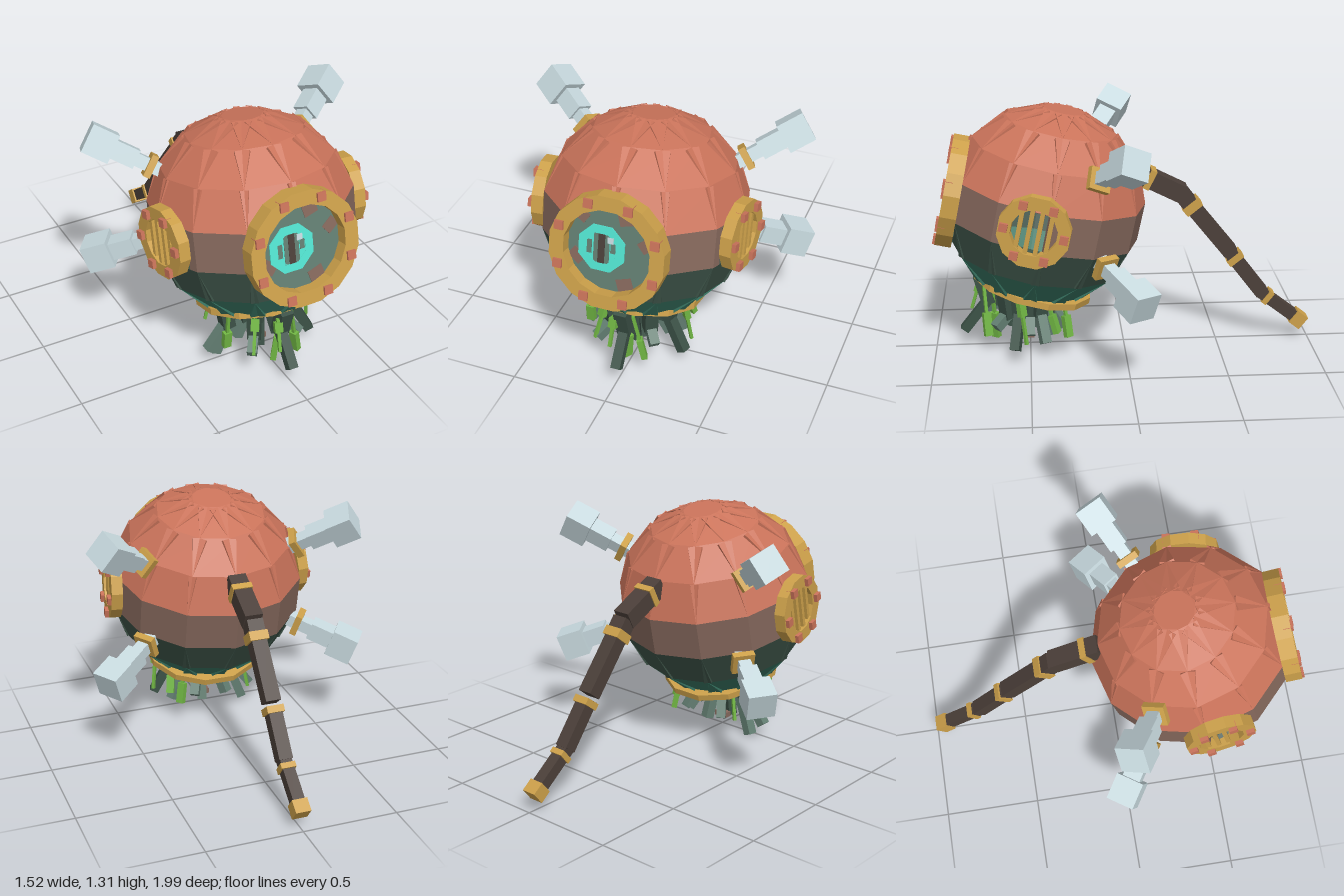
import * as THREE from 'three';

const paint = (name, color) => {
  const m = new THREE.MeshStandardMaterial({ color });
  m.name = name;
  return m;
};
const M = {
  copper: paint('copper', 0xca735a),
  brown: paint('agedBrown', 0x85685c),
  moss: paint('darkMoss', 0x3c5247),
  teal: paint('deepTeal', 0x387562),
  gold: paint('brass', 0xcca04a),
  steel: paint('paleSteel', 0xc8dadf),
  hose: paint('hoseBrown', 0x4b3f39),
  glow: paint('glowTurquoise', 0x52e4d1),
  slate: paint('slateGreen', 0x627d71),
  vine: paint('vineGreen', 0x70b543),
};
const CENTER = new THREE.Vector3(0, 0.79, 0.41);
const R = 0.525, TILT = 0.21, DEG = Math.PI / 180;
const WINDOW_Y = -0.018;
const V = (x, y, z) => new THREE.Vector3(x, y, z);

function group(parent, name) {
  const g = new THREE.Group();
  g.name = name;
  parent.add(g);
  return g;
}

function add(parent, name, geometry, material, x = 0, y = 0, z = 0) {
  const m = new THREE.Mesh(geometry, material);
  m.name = name;
  m.position.set(x, y, z);
  parent.add(m);
  return m;
}

const box = (parent, name, mat, w, h, d, x, y, z) =>
  add(parent, name, new THREE.BoxGeometry(w, h, d), mat, x, y, z);

// Box running from one point to another
function link(parent, name, mat, a, b, w, h = w) {
  const m = new THREE.Mesh(new THREE.BoxGeometry(w, h, a.distanceTo(b)), mat);
  m.name = name;
  m.position.lerpVectors(a, b, 0.5);
  m.lookAt(b);
  parent.add(m);
  return m;
}

// Flat-sided ring in the xy plane, from z0 to z1
function ringGeometry(outer, inner, sides, z0, z1) {
  const pts = r => Array.from({ length: sides }, (_, i) => {
    const a = ((i + 0.5) / sides) * Math.PI * 2;
    return new THREE.Vector2(Math.cos(a) * r, Math.sin(a) * r);
  });
  const shape = new THREE.Shape(pts(outer));
  shape.holes.push(new THREE.Path(pts(inner)));
  return new THREE.ExtrudeGeometry(shape, { depth: z1 - z0, bevelEnabled: false }).translate(0, 0, z0);
}

// Plate with one corner scooped out around the front window;
// sx, sy point away from the scooped corner, gap is its distance from the window centre
function scoopedPlate(w, h, t, sx, sy, gap) {
  const r = 0.25, start = Math.asin(gap / r);
  const pts = [[0, h], [w, h], [w, 0]];
  for (let i = 0; i <= 6; i++) {
    const a = start + (Math.PI / 2 - start) * (i / 6);
    pts.push([r * Math.cos(a), r * Math.sin(a) - gap]);
  }
  const shape = new THREE.Shape(pts.map(([x, y]) => new THREE.Vector2(sx * (x - w / 2), sy * (y - h / 2))));
  return new THREE.ExtrudeGeometry(shape, { depth: t, bevelEnabled: false }).translate(0, 0, -t);
}

function bolts(parent, count, offset, radius, size, z) {
  for (let i = 0; i < count; i++) {
    const a = offset + (i / count) * Math.PI * 2;
    box(parent, 'bolt', M.copper, size, size, 0.05, Math.cos(a) * radius, Math.sin(a) * radius, z);
  }
}

// Hull of overlapping rectangular plates, twelve to a row
function buildHull(body) {
  const hull = group(body, 'hull');
  const rows = [[22.5, M.copper], [45, M.copper], [67.5, M.copper], [90, M.brown], [112.5, M.moss], [135, M.teal]];
  const t = 0.024;
  for (const [phi, mat] of rows) {
    const p0 = (phi - 11.25) * DEG, p1 = (phi + 11.25) * DEG;
    const width = 2 * R * Math.max(Math.sin(p0), Math.sin(p1)) * Math.sin(15 * DEG);
    const r0 = R * Math.sin(p0) * Math.cos(15 * DEG), r1 = R * Math.sin(p1) * Math.cos(15 * DEG);
    const y0 = R * Math.cos(p0), y1 = R * Math.cos(p1);
    const height = Math.hypot(r1 - r0, y1 - y0);
    for (let i = 0; i < 12; i++) {
      const front = i === 0 || i === 11;
      // open behind the front window, narrow strip in front of each porthole
      if (phi === 90 && front) continue;
      const strip = phi === 90 && (i === 2 || i === 9);
      const w = strip ? 0.05 : width;
      const x = strip ? Math.sign(i - 5) * (width - w) / 2 : 0;
      const sector = group(hull, 'hullPlate');
      sector.rotation.y = (15 + 30 * i) * DEG;
      const scooped = front && Math.abs(phi - 90) < 30;
      const gap = phi < 90 ? y1 - WINDOW_Y : WINDOW_Y - y0;
      const g = scooped
        ? scoopedPlate(w, height, t, i === 0 ? 1 : -1, phi < 90 ? 1 : -1, gap)
        : new THREE.BoxGeometry(w, height, t).translate(0, 0, -t / 2);
      const plate = add(sector, 'plate', g, mat, x, (y0 + y1) / 2, (r0 + r1) / 2);
      plate.rotation.x = -Math.atan2(r1 - r0, y0 - y1);
    }
  }
  const capR = R * Math.sin(11.25 * DEG);
  add(hull, 'topCap', new THREE.CylinderGeometry(capR, capR, t, 12), M.copper, 0, R * Math.cos(11.25 * DEG) - t / 2, 0);
  const rim = add(hull, 'bottomRim', ringGeometry(0.32, 0.262, 12, -0.017, 0.017), M.gold, 0, -0.44, -0.018);
  rim.rotation.x = Math.PI / 2 - 0.05;
}

// Front window with the glowing eye set back inside the frame
function buildWindow(body) {
  const win = group(body, 'frontWindow');
  win.position.y = WINDOW_Y;
  add(win, 'windowFrame', ringGeometry(0.294, 0.22, 16, 0.44, 0.525), M.gold);
  bolts(win, 8, 22.5 * DEG, 0.26, 0.045, 0.512);
  const glass = add(win, 'glass', new THREE.CylinderGeometry(0.24, 0.24, 0.006, 16), M.slate, 0, 0, 0.459);
  glass.rotation.x = Math.PI / 2;
  for (const [x, y, w] of [[0.07, 0.165, 0.075], [-0.15, 0.145, 0.06], [0.175, 0.055, 0.07], [-0.17, -0.07, 0.075], [0.08, -0.17, 0.08]]) {
    box(win, 'rustPatch', M.brown, w, 0.06, 0.004, x, y, 0.463).rotation.z = x * 4;
  }
  const eye = group(win, 'eye');
  eye.position.set(-0.045, -0.005, 0.463);
  add(eye, 'eyeGlow', ringGeometry(0.126, 0.08, 8, 0, 0.006), M.glow);
  const iris = add(eye, 'iris', new THREE.CylinderGeometry(0.09, 0.09, 0.004, 8), M.glow, 0, 0, 0.002);
  iris.rotation.x = Math.PI / 2;
  box(eye, 'irisPanel', M.slate, 0.08, 0.15, 0.004, 0, 0, 0.004);
  box(eye, 'pupil', M.hose, 0.034, 0.15, 0.004, 0, 0, 0.006);
  box(eye, 'irisBar', M.slate, 0.025, 0.07, 0.004, -0.062, 0, 0.004);
  box(eye, 'irisBar', M.slate, 0.025, 0.05, 0.004, 0.058, 0.01, 0.004);
  box(eye, 'glint', M.steel, 0.03, 0.03, 0.004, 0.045, 0.05, 0.008);
}

// Barred porthole on each side
function buildPorthole(body, side) {
  const port = group(body, side > 0 ? 'leftPorthole' : 'rightPorthole');
  port.rotation.y = side * 83 * DEG;
  port.position.y = 0.01;
  add(port, 'portholeFrame', ringGeometry(0.184, 0.118, 12, 0.485, 0.545), M.gold);
  bolts(port, 6, 0, 0.15, 0.042, 0.54);
  for (let i = 0; i < 4; i++) {
    box(port, 'grilleBar', M.gold, 0.022, 0.24, 0.02, (i - 1.5) * 0.05, 0, 0.525);
  }
}

// Stubby arm pointing straight out from the hull
function buildArm(model, name, direction, roll) {
  const arm = group(model, name);
  const dir = direction.clone().normalize();
  const at = d => CENTER.clone().addScaledVector(dir, d);
  const parts = [['collar', M.gold, 0.54, 0.575, 0.115], ['neck', M.steel, 0.5, 0.68, 0.065],
    ['forearm', M.steel, 0.635, 0.79, 0.095], ['fist', M.steel, 0.76, 0.9, 0.148]];
  for (const [part, mat, d0, d1, size] of parts) link(arm, part, mat, at(d0), at(d1), size).rotateZ(roll);
}

// Jointed air hose trailing behind
function buildHose(model) {
  const hose = group(model, 'airHose');
  const P = (z, y) => V(0, y, z);
  const segments = [
    [P(-0.06, 0.96), P(-0.31, 0.835), 0.095], [P(-0.305, 0.835), P(-0.37, 0.75), 0.085],
    [P(-0.36, 0.765), P(-0.57, 0.505), 0.08], [P(-0.58, 0.485), P(-0.745, 0.27), 0.072],
    [P(-0.735, 0.275), P(-0.95, 0.11), 0.062]];
  for (const [a, b, w] of segments) link(hose, 'hoseSegment', M.hose, a, b, w);
  const bands = [[P(-0.12, 0.93), P(-0.15, 0.915), 0.108], [P(-0.345, 0.785), P(-0.375, 0.748), 0.1],
    [P(-0.583, 0.485), P(-0.605, 0.457), 0.09], [P(-0.765, 0.253), P(-0.788, 0.235), 0.078],
    [P(-0.92, 0.133), P(-0.975, 0.09), 0.08]];
  for (const [a, b, w] of bands) link(hose, 'hoseBand', M.gold, a, b, w);
}

// Tentacles and vines hanging from the open bottom
function buildTentacles(model) {
  const bunch = group(model, 'tentacles');
  const tips = [
    [-0.29, 0.08, 0.5], [-0.23, 0.02, 0.46], [-0.08, 0.15, 0.62], [0.03, 0.07, 0.4],
    [0.2, 0.09, 0.42], [0.26, 0.08, 0.58], [0.14, 0.16, 0.68], [-0.1, 0.11, 0.36],
    [0, 0.1, 0.85], [-0.16, 0.16, 0.72], [0.1, 0.14, 0.32], [-0.02, 0.06, 0.55],
    [0.16, 0.12, 0.5], [-0.14, 0.13, 0.52], [0.06, 0.14, 0.6]];
  tips.forEach(([x, y, z], i) => {
    const along = (k, h) => V(x * k, h, 0.5 + (z - 0.5) * k);
    const knee = along(0.62, 0.2 + 0.025 * (i % 3));
    const mat = i % 3 === 2 ? M.moss : M.slate;
    link(bunch, 'upperTentacle', M.moss, along(0.75, 0.41), knee, 0.068);
    link(bunch, 'lowerTentacle', mat, knee.clone().lerp(along(0.75, 0.4), 0.1), V(x, y, z), 0.05);
  });
  box(bunch, 'rustScrap', M.brown, 0.08, 0.03, 0.04, 0, 0.07, 0.5);
  const vines = [
    [-0.24, 0.62, -0.24, 0.16, 0.6], [-0.04, 0.76, -0.05, 0.2, 0.81], [0.02, 0.7, -0.01, 0.05, 0.68],
    [0.25, 0.55, 0.28, 0.12, 0.52], [0.05, 0.74, 0.1, 0.1, 0.72], [-0.18, 0.35, -0.22, 0.14, 0.33],
    [0.15, 0.33, 0.19, 0.12, 0.3], [-0.12, 0.68, -0.16, 0.17, 0.74], [0.2, 0.42, 0.23, 0.16, 0.36]];
  vines.forEach(([x0, z0, x1, y1, z1], i) => {
    const a = V(x0, 0.37, z0), b = V(x1, y1, z1);
    link(bunch, 'vine', M.vine, a, b, 0.016);
    link(bunch, 'vineLeaf', M.vine, a.clone().lerp(b, i % 2 ? 0.1 : 0.55), a.clone().lerp(b, i % 2 ? 0.4 : 1), 0.042, 0.03);
  });
}

export function createModel() {
  const model = new THREE.Group();
  model.name = 'divingBell';
  const body = group(model, 'body');
  body.position.copy(CENTER);
  body.rotation.x = -TILT;
  buildHull(body);
  buildWindow(body);
  for (const side of [1, -1]) {
    const label = side > 0 ? 'left' : 'right';
    buildPorthole(body, side);
    buildArm(model, label + 'UpperArm', V(side * 0.68, 0.4, -0.42), side * -0.45);
    buildArm(model, label + 'LowerArm', V(side * 0.67, -0.31, -0.45), side * -0.05);
  }
  buildHose(model);
  buildTentacles(model);
  return model;
}
